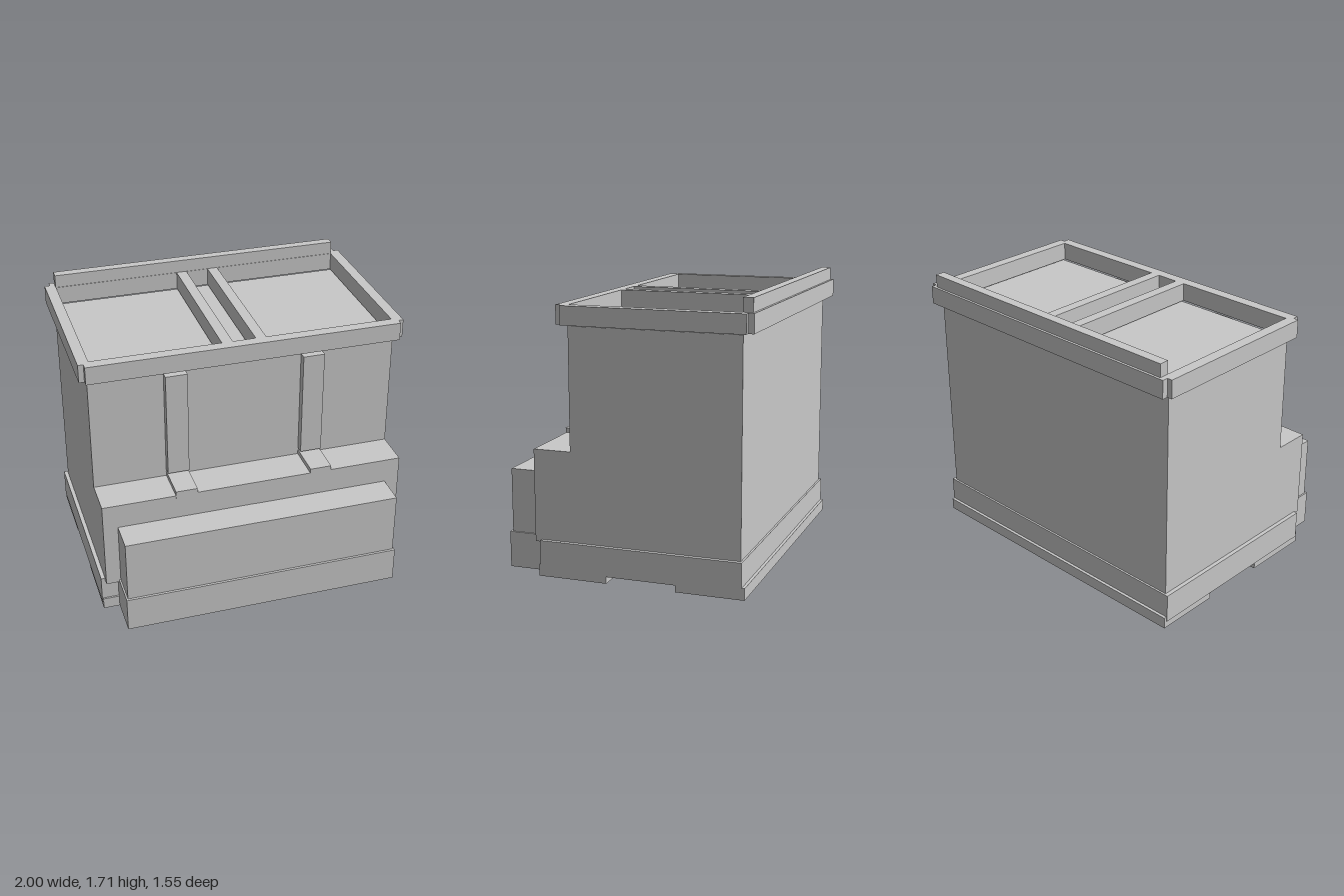
import * as THREE from 'three';

export function createModel() {
  const model = new THREE.Group();
  model.name = 'cabinetUnit';
  const grey = new THREE.MeshStandardMaterial({ color: 0xc8c8c8 });
  grey.name = 'light grey';

  // Box given by its limits on each axis
  const box = (name, [x0, x1], [y0, y1], [z0, z1]) => {
    const mesh = new THREE.Mesh(new THREE.BoxGeometry(x1 - x0, y1 - y0, z1 - z0), grey);
    mesh.position.set((x0 + x1) / 2, (y0 + y1) / 2, (z0 + z1) / 2);
    mesh.name = name;
    model.add(mesh);
  };

  // Main body: stepped side profile (z, y) extruded across the width
  const profile = [[-0.708, 0.207], [0.568, 0.207], [0.568, 0.772], [0.335, 0.772], [0.335, 1.51], [-0.708, 1.51]];
  const shape = new THREE.Shape(profile.map(([z, y]) => new THREE.Vector2(-z, y)));
  const bodyGeo = new THREE.ExtrudeGeometry(shape, { depth: 1.9, bevelEnabled: false });
  bodyGeo.translate(0, 0, -0.95).rotateY(Math.PI / 2);
  const body = new THREE.Mesh(bodyGeo, grey);
  body.name = 'body';
  model.add(body);

  // Plinth with two skids, leaving a channel underneath
  box('plinth', [-0.975, 0.975], [0.043, 0.222], [-0.72, 0.528]);
  box('rearSkid', [-0.97, 0.97], [0, 0.072], [-0.738, -0.322]);
  box('frontSkid', [-0.97, 0.97], [0, 0.072], [0.108, 0.539]);

  // Front chest, in two halves, and its base
  box('frontChestRight', [-0.86, 0], [0.2, 0.616], [0.56, 0.763]);
  box('frontChestLeft', [0, 0.86], [0.2, 0.615], [0.56, 0.763]);
  box('frontChestBase', [-0.87, 0.87], [0, 0.222], [0.5, 0.778]);

  // Straps on the front wall and over the step
  for (const x of [-0.43, 0.424]) {
    const span = [x - 0.067, x + 0.067];
    box('wallStrap', span, [0.816, 1.486], [0.33, 0.385]);
    box('stepStrap', span, [0.757, 0.802], [0.33, 0.571]);
  }

  // Open frame floating just above the body
  const frameY = [1.519, 1.632];
  box('frameFront', [-0.967, 0.967], frameY, [0.333, 0.402]);
  box('frameBack', [-0.967, 0.967], frameY, [-0.775, -0.697]);
  box('frameRight', [-1, -0.933], frameY, [-0.739, 0.363]);
  box('frameLeft', [0.933, 1], frameY, [-0.739, 0.363]);
  box('dividerRight', [-0.139, -0.073], frameY, [-0.71, 0.34]);
  box('dividerLeft', [0.07, 0.135], frameY, [-0.71, 0.34]);
  box('rearBar', [-0.935, 0.935], [1.625, 1.713], [-0.76, -0.7]);

  return model;
}
